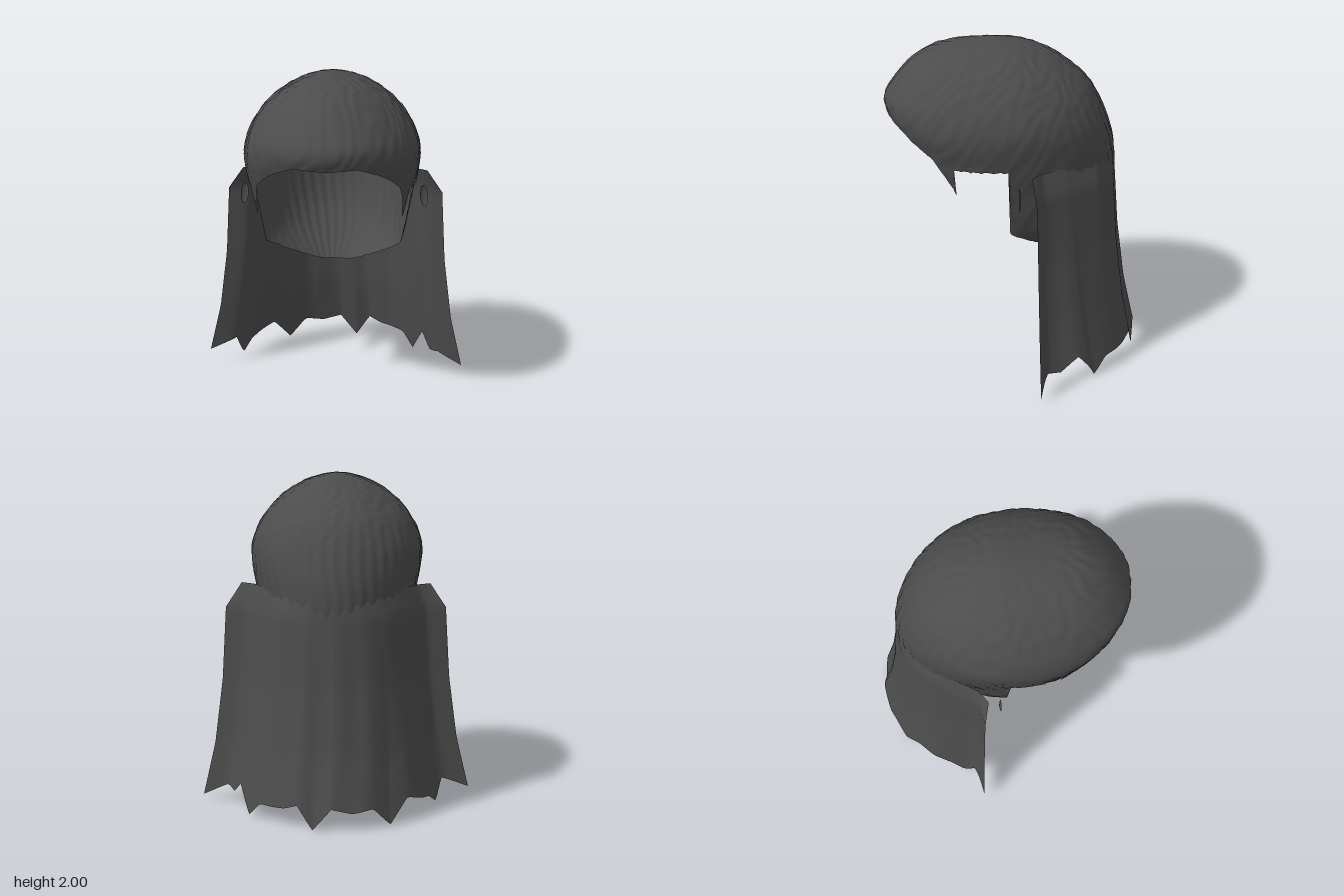
import * as THREE from 'three';
import { mergeVertices } from 'three/addons/utils/BufferGeometryUtils.js';

const hairMaterial = new THREE.MeshStandardMaterial({ color: 0x4c4c4c, side: THREE.DoubleSide });

// Smooth surface over a (cols x rows) grid of points
function gridSurface(cols, rows, pointAt, name) {
  const pos = [], idx = [];
  for (let i = 0; i <= cols; i++)
    for (let j = 0; j <= rows; j++) pos.push(...pointAt(i, j));
  for (let i = 0; i < cols; i++)
    for (let j = 0; j < rows; j++) {
      const a = i * (rows + 1) + j, b = a + rows + 1;
      idx.push(a, a + 1, b, b, a + 1, b + 1);
    }
  let geo = new THREE.BufferGeometry();
  geo.setAttribute('position', new THREE.Float32BufferAttribute(pos, 3));
  geo.setIndex(idx);
  geo = mergeVertices(geo, 1e-5);
  geo.computeVertexNormals();
  const mesh = new THREE.Mesh(geo, hairMaterial);
  mesh.name = name;
  return mesh;
}

// Straight-line lookup in a list of [key, value]
function lookup(keys, k) {
  let i = 1;
  while (i < keys.length - 1 && keys[i][0] < k) i++;
  const [k0, v0] = keys[i - 1], [k1, v1] = keys[i];
  return v0 + (v1 - v0) * (k - k0) / (k1 - k0);
}

// Hair cap: oval sections by height, cut along a hairline with ear openings
function hairCap() {
  const midZ = 0.1;
  // height, half width, front z, back z (the nape curves inward)
  const sections = [
    [2.0, 0, 0.1, 0.1], [1.98, 0.12, 0.35, -0.07], [1.95, 0.205, 0.48, -0.16],
    [1.87, 0.335, 0.61, -0.3], [1.75, 0.445, 0.72, -0.44], [1.66, 0.495, 0.77, -0.5],
    [1.55, 0.525, 0.745, -0.55], [1.37, 0.505, 0.66, -0.6], [1.2, 0.47, 0.6, -0.605],
    [1.0, 0.44, 0.57, -0.55], [0.9, 0.41, 0.55, -0.49], [0.82, 0.345, 0.53, -0.43],
    [0.69, 0.2, 0.5, -0.32]
  ];
  const section = new THREE.CubicInterpolant(
    sections.map(s => Math.sqrt(2 - s[0])), sections.flatMap(s => s.slice(1)), 3, new Float32Array(3));
  // degrees from the front, height of the edge of the upper dome
  const dome = [[0, 1.56], [20, 1.57], [34, 1.52], [45, 1.46], [54, 1.4], [60, 1.36], [180, 1.36]];
  // degrees from the front, height of the lower hairline: sideburn, ear opening, nape
  const lower = [[54, 1.4], [60, 1.3], [66, 1.18], [68, 1.36], [96, 1.36], [98, 0.92],
    [117, 0.82], [130, 0.765], [145, 0.72], [160, 0.7], [180, 0.695]];
  const cols = 180, rows = 72, domeRows = 50;

  return gridSurface(cols, rows, (i, j) => {
    const deg = (i % cols) * 2 - 180, a = THREE.MathUtils.degToRad(deg), d = Math.abs(deg);
    const domeDrop = 2 - lookup(dome, d);
    const fray = d > 62 && d < 100 ? 0.008 * Math.sin(i * 2.3) : 0;
    const lowDrop = d < 54 ? domeDrop : 2 - lookup(lower, d) + fray;
    const drop = j <= domeRows
      ? domeDrop * (1 - Math.cos(j / domeRows * Math.PI / 2))
      : domeDrop + (lowDrop - domeDrop) * (j - domeRows) / (rows - domeRows);
    const [w, front, back] = section.evaluate(Math.sqrt(drop));
    const c = Math.cos(a), y = 2 - drop;
    const x = w * Math.sin(a);
    const z = c > 0 ? midZ + (front - midZ) * Math.pow(c, 0.86) : midZ + (midZ - back) * c;
    // curly relief over the crown, vertical strands down the back
    const curl = Math.sin(46 * x + 2 * Math.sin(23 * z + 11 * y)) * Math.sin(42 * z + 30 * y + 2 * Math.sin(25 * x));
    const strand = Math.sin(44 * a + 1.5 * Math.sin(9 * y));
    const mix = THREE.MathUtils.smoothstep(-z, 0.1, 0.45) * (1 - THREE.MathUtils.smoothstep(y, 1.5, 1.85));
    const k = 1 + 0.007 * Math.min(1, j / 14) * (curl * (1 - mix) + strand * mix);
    return [x * k, 1.35 + (y - 1.35) * k, midZ + (z - midZ) * k];
  }, 'hairCap');
}

// Long hair: a sheet hung round the back with a ragged hem
function longHair() {
  // half outlines [x, z] from the middle of the back to the front edge
  const outlines = [
    [[0, -0.59], [0.14, -0.56], [0.27, -0.475], [0.4, -0.315], [0.49, -0.17], [0.57, -0.11]],
    [[0, -0.615], [0.16, -0.59], [0.31, -0.5], [0.44, -0.33], [0.54, -0.18], [0.665, -0.14]],
    [[0, -0.645], [0.17, -0.62], [0.33, -0.53], [0.46, -0.37], [0.565, -0.19], [0.69, -0.15]],
    [[0, -0.695], [0.175, -0.67], [0.34, -0.58], [0.49, -0.42], [0.605, -0.205], [0.74, -0.16]],
    [[0, -0.765], [0.18, -0.735], [0.35, -0.645], [0.52, -0.475], [0.65, -0.22], [0.815, -0.17]]
  ];
  const levels = [0, 1 / 9, 0.45, 0.75, 1];
  const curves = outlines.map(half => new THREE.CatmullRomCurve3([
    ...half.slice(1).reverse().map(([x, z]) => new THREE.Vector3(-x, 0, z)),
    ...half.map(([x, z]) => new THREE.Vector3(x, 0, z))
  ], false, 'catmullrom', 0.25));
  // x along the hem, height of the hem
  const hem = [[-0.82, 0.1], [-0.65, 0.17], [-0.615, 0.04], [-0.57, 0.1], [-0.44, 0.15], [-0.34, 0.01],
    [-0.24, 0.12], [-0.12, 0.1], [0, 0.13], [0.11, 0], [0.2, 0.14], [0.28, 0.11],
    [0.43, 0.1], [0.5, 0.01], [0.56, 0.17], [0.61, 0.09], [0.66, 0.11], [0.82, 0.03]];
  const cols = 120, rows = 27;

  return gridSurface(cols, rows, (i, j) => {
    const u = i / cols, v = j / rows;
    const rings = curves.map(c => c.getPoint(u));
    const at = axis => lookup(levels.map((l, n) => [l, rings[n][axis]]), v);
    const bottom = lookup(hem, rings[4].x);
    // soft folds that fade at the hem and side edges
    const fold = 1 + 0.03 * v * (1 - v) * Math.sin(u * Math.PI) * Math.sin(u * Math.PI * 18);
    return [at('x') * fold, 1.35 + (bottom - 1.35) * v, at('z') * fold];
  }, 'longHair');
}

// Small loose lock beside each ear
function looseLock(side) {
  const geo = new THREE.SphereGeometry(1, 12, 8, Math.PI, Math.PI);
  geo.scale(0.024, 0.07, 0.012);
  const lock = new THREE.Mesh(geo, hairMaterial);
  lock.position.set(side * 0.553, 1.21, -0.035);
  lock.rotation.z = side * 0.08;
  lock.name = side > 0 ? 'leftLooseLock' : 'rightLooseLock';
  return lock;
}

export function createModel() {
  const group = new THREE.Group();
  group.name = 'longHairWig';
  group.add(hairCap(), longHair(), looseLock(1), looseLock(-1));
  return group;
}
